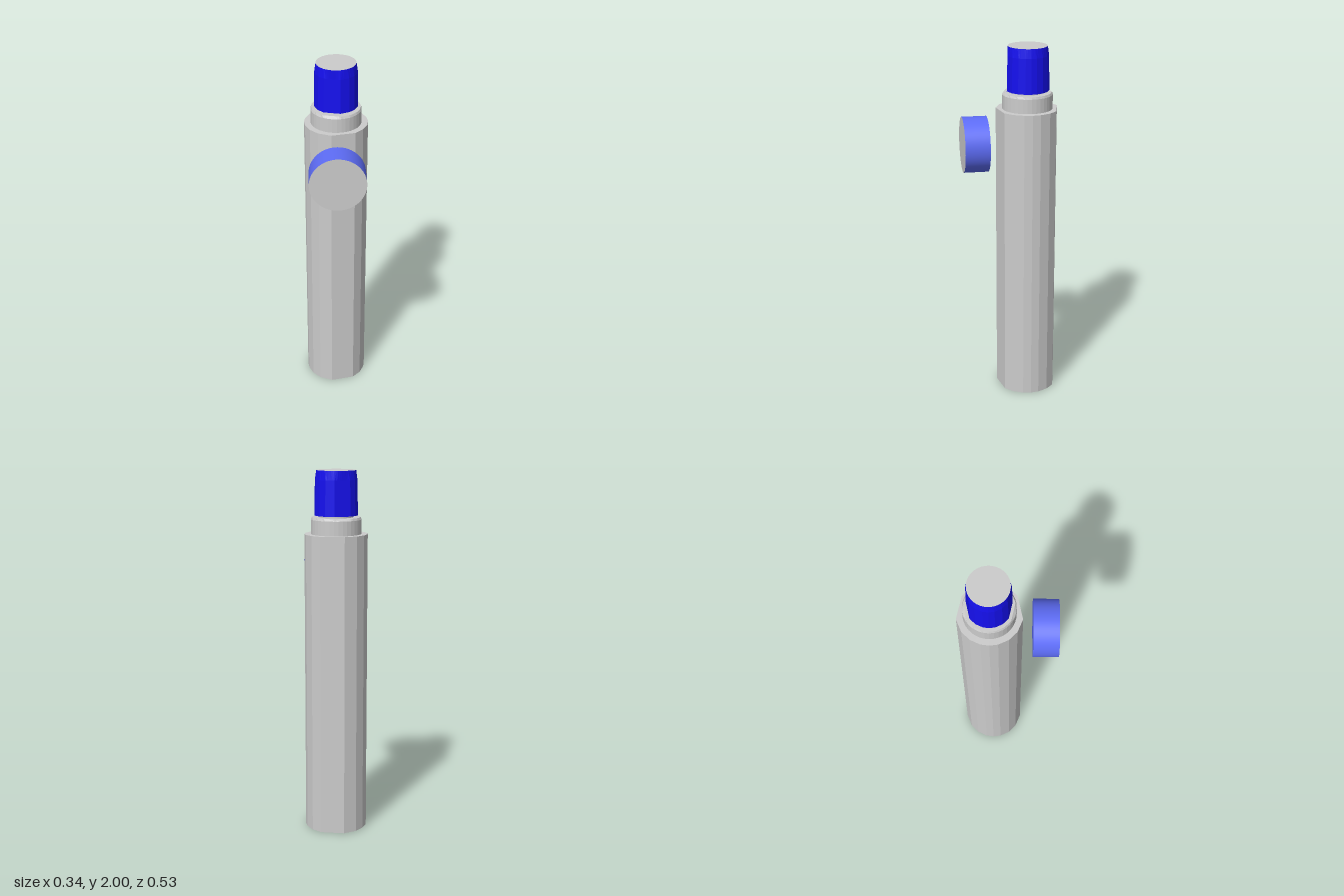
import * as THREE from 'three';

const SEGMENTS = 72;
const AXIS_Z = -0.095;
// Corner angles (degrees) of the irregular outlines, mirrored front to back
const mirrored = (half) => [...half, ...half.slice(1, -1).reverse().map((a) => 360 - a), 360];
const BODY = mirrored([0, 15, 35, 55, 100, 125, 145, 165, 180]);
const PLUG = mirrored([0, 15, 35, 55, 80, 125, 145, 165, 180]);
const ROUND = mirrored([0, 10, 20, 30, 40, 50, 60, 70, 80, 90, 100, 110, 120, 130, 140, 150, 160, 170, 180]);

// Scale that pulls a circle in to the chord between two neighbouring corners
function chordScale(corners, deg) {
  const i = Math.max(1, corners.findIndex((c) => c >= deg));
  const rad = Math.PI / 180;
  const half = ((corners[i] - corners[i - 1]) / 2) * rad;
  const mid = ((corners[i] + corners[i - 1]) / 2) * rad;
  return Math.cos(half) / Math.cos(deg * rad - mid);
}

// Turned solid whose levels [radius, y, corners] may each have their own outline
function turned(name, levels, material) {
  const geo = new THREE.LatheGeometry(levels.map(([r, y]) => new THREE.Vector2(r, y)), SEGMENTS);
  const pos = geo.attributes.position;
  for (let i = 0; i < pos.count; i++) {
    const [r, y, corners = ROUND] = levels[i % levels.length];
    const step = Math.floor(i / levels.length) % SEGMENTS;
    // lathe runs from +z towards +x, corner angles from +x towards +z
    const deg = (450 - (step * 360) / SEGMENTS) % 360;
    const a = (deg * Math.PI) / 180;
    const k = r * chordScale(corners, deg);
    pos.setXYZ(i, k * Math.cos(a), y, k * Math.sin(a));
  }
  geo.computeVertexNormals();
  const mesh = new THREE.Mesh(geo, material);
  mesh.name = name;
  mesh.position.z = AXIS_Z;
  return mesh;
}

export function createModel() {
  const group = new THREE.Group();
  const grey = new THREE.MeshStandardMaterial({ color: 0xcccccc, flatShading: true });
  const plugBlue = new THREE.MeshStandardMaterial({ color: 0x1510ee, flatShading: true });
  const buttonBlue = new THREE.MeshStandardMaterial({ color: 0x5d6cf5 });

  // Long faceted barrel
  group.add(turned('body', [[0, 0], [0.172, 0, BODY], [0.172, 1.66, BODY], [0, 1.66]], grey));

  // Round collar with a faceted upper rim
  group.add(turned('collar', [
    [0.137, 1.66], [0.137, 1.738], [0.133, 1.75, PLUG], [0, 1.75],
  ], grey));

  // Narrow neck under the tip
  group.add(turned('neck', [[0.092, 1.745], [0.092, 1.765]], grey));

  // Tapered tip: faceted at the base, round at the top
  group.add(turned('tip', [
    [0, 1.76], [0.118, 1.76, PLUG], [0.114, 1.95, PLUG], [0.107, 2],
  ], plugBlue));
  group.add(turned('tipCap', [[0.107, 2], [0, 2]], grey));

  // Side button floating in front, with a grey face
  const button = new THREE.Mesh(
    new THREE.CylinderGeometry(0.152, 0.152, 0.135, 64),
    [buttonBlue, grey, buttonBlue],
  );
  button.name = 'button';
  button.rotation.x = Math.PI / 2;
  button.position.set(0, 1.468, 0.195);
  group.add(button);

  return group;
}
